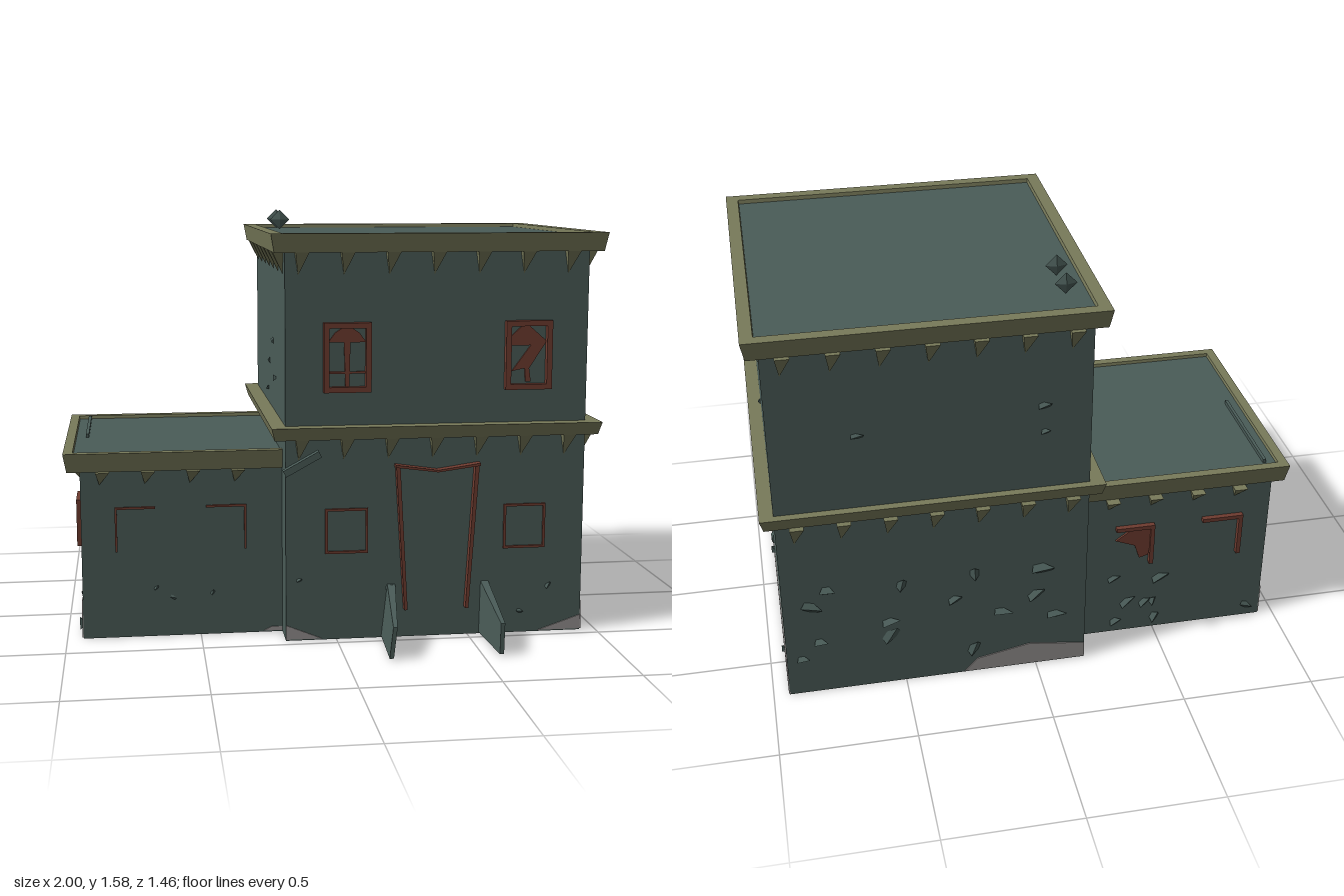
import * as THREE from 'three';

const mat = (name, color, side = THREE.DoubleSide) => {
  const m = new THREE.MeshStandardMaterial({ color, side, flatShading: true });
  m.name = name;
  return m;
};

export function createModel() {
  const house = new THREE.Group();
  house.name = 'ruinedHouse';
  const wallMat = mat('dark teal wall', 0x4a5c58);
  const trimMat = mat('olive trim', 0x787a5a);
  const woodMat = mat('red brown wood', 0x6f3c30);
  const plasterMat = mat('grey plaster', 0x959190);

  let seed = 7;
  const rnd = (a, b) => {
    seed = (seed * 16807) % 2147483647;
    return a + (b - a) * (seed / 2147483647);
  };
  const add = (parent, name, geo, material, x = 0, y = 0, z = 0) => {
    const m = new THREE.Mesh(geo, material);
    m.name = name;
    m.position.set(x, y, z);
    parent.add(m);
    return m;
  };
  const box = (parent, name, material, w, h, d, x, y, z) =>
    add(parent, name, new THREE.BoxGeometry(w, h, d), material, x, y, z);
  // flat plate from an outline, centred on the local wall plane
  const plate = (parent, name, material, pts, z = 0, depth = 0.008) => {
    const s = new THREE.Shape(pts.map(p => new THREE.Vector2(p[0], p[1])));
    const g = new THREE.ExtrudeGeometry(s, { depth, bevelEnabled: false });
    return add(parent, name, g, material, 0, 0, z - depth / 2);
  };

  // four walls without floor or roof; returns one local frame per wall
  function block(name, x0, x1, z0, z1, h) {
    const w = x1 - x0, d = z1 - z0, cx = (x0 + x1) / 2, cz = (z0 + z1) / 2;
    const g = new THREE.BoxGeometry(w, h, d);
    const idx = Array.from(g.index.array);
    idx.splice(12, 12);
    g.setIndex(idx);
    g.clearGroups();
    add(house, name, g, wallMat, cx, h / 2, cz);
    const frame = (side, x, z, rot, len) => {
      const f = new THREE.Group();
      f.name = name + side;
      f.position.set(x, 0, z);
      f.rotation.y = rot;
      f.userData.len = len;
      house.add(f);
      return f;
    };
    return {
      front: frame('Front', cx, z1, 0, w),
      right: frame('RightSide', x1, cz, Math.PI / 2, d),
      back: frame('Back', cx, z0, Math.PI, w),
      left: frame('LeftSide', x0, cz, -Math.PI / 2, d),
    };
  }

  // cornice ring, leaning outwards towards the top
  function cornice(name, x0, x1, z0, z1, y0, y1, t) {
    const w = x1 - x0, d = z1 - z0;
    const rect = (S, a, b) => new S([[-a, -b], [a, -b], [a, b], [-a, b]].map(p => new THREE.Vector2(...p)));
    const s = rect(THREE.Shape, w / 2, d / 2);
    s.holes.push(rect(THREE.Path, w / 2 - t, d / 2 - t));
    const g = new THREE.ExtrudeGeometry(s, { depth: y1 - y0, bevelEnabled: false });
    g.rotateX(-Math.PI / 2);
    const p = g.attributes.position;
    for (let i = 0; i < p.count; i++) {
      if (p.getY(i) < 0.01) {
        p.setX(i, p.getX(i) * (1 - 0.025 / w));
        p.setZ(i, p.getZ(i) * (1 - 0.025 / d));
      }
    }
    g.computeVertexNormals();
    add(house, name, g, trimMat, (x0 + x1) / 2, y0, (z0 + z1) / 2);
  }

  // pointed bracket: a box top shrinking to a tip against the wall
  const toothGeo = new THREE.BoxGeometry(0.05, 0.085, 0.042);
  const tp = toothGeo.attributes.position;
  for (let i = 0; i < tp.count; i++) {
    if (tp.getY(i) < 0) { tp.setX(i, -0.012); tp.setZ(i, -0.021); }
  }
  toothGeo.computeVertexNormals();
  function teeth(wall, y, n, start, step, size = 1) {
    for (let i = 0; i < n; i++) {
      const t = add(wall, 'bracket', toothGeo, trimMat, start + i * step, y - 0.042 * size, 0.02);
      t.scale.y = size;
    }
  }

  // window frame from any of its four bars: t, b, l, r
  function windowFrame(wall, u, y, w, h, out, bars = 'tblr', t = 0.016) {
    const f = new THREE.Group();
    f.name = 'windowFrame';
    f.position.set(u, y, out / 2 - 0.01);
    wall.add(f);
    const d = out + 0.02;
    if (bars.includes('t')) box(f, 'topBar', woodMat, w, t, d, 0, h / 2 - t / 2, 0);
    if (bars.includes('b')) box(f, 'sill', woodMat, w, t, d, 0, -h / 2 + t / 2, 0);
    if (bars.includes('l')) box(f, 'leftBar', woodMat, t, h, d, -w / 2 + t / 2, 0, 0);
    if (bars.includes('r')) box(f, 'rightBar', woodMat, t, h, d, w / 2 - t / 2, 0, 0);
    return f;
  }

  // loose stone chips on a wall
  const chipGeo = new THREE.TetrahedronGeometry(1);
  function chips(wall, n, y0, y1, big = 0.03) {
    for (let i = 0; i < n; i++) {
      const len = wall.userData.len / 2 - 0.05;
      const c = add(wall, 'stoneChip', chipGeo, wallMat, rnd(-len, len), rnd(y0, y1), 0.002);
      c.scale.set(rnd(0.6, 1.3) * big, rnd(0.4, 0.7) * big, rnd(0.3, 0.6) * big);
      c.rotation.z = rnd(-0.8, 0.8);
    }
  }

  // main two-storey block and side wing
  const main = block('mainWalls', -0.19, 0.94, -0.69, 0.455, 1.49);
  const wing = block('wingWalls', -0.94, -0.185, -0.565, 0.33, 0.685);
  box(house, 'mainRoof', wallMat, 1.16, 0.02, 1.17, 0.375, 1.488, -0.11);
  box(house, 'upperFloor', wallMat, 1.12, 0.02, 1.13, 0.375, 0.79, -0.118);
  box(house, 'wingRoof', wallMat, 0.78, 0.02, 0.9, -0.575, 0.685, -0.115);
  cornice('roofCornice', -0.245, 0.995, -0.725, 0.51, 1.445, 1.513, 0.045);
  cornice('middleCornice', -0.245, 0.99, -0.72, 0.51, 0.765, 0.812, 0.07);
  cornice('wingCornice', -1.0, -0.14, -0.585, 0.355, 0.637, 0.708, 0.035);

  // brackets
  for (const y of [1.446, 0.767]) {
    teeth(main.front, y, 7, -0.505, 0.167);
    teeth(main.right, y, 7, -0.52, 0.165);
    teeth(main.back, y, 7, -0.49, 0.165);
    if (y > 1) teeth(main.left, y, 7, -0.49, 0.165);
  }
  teeth(wing.front, 0.637, 4, -0.295, 0.167, 0.6);
  teeth(wing.left, 0.637, 5, -0.33, 0.165, 0.6);
  teeth(wing.back, 0.637, 4, -0.25, 0.165, 0.6);

  // upper windows with broken boards
  const w1 = windowFrame(main.front, -0.338, 1.063, 0.175, 0.255, 0.026, 'tblr', 0.02);
  plate(w1, 'brokenBoard', woodMat, [[-0.07, 0.055], [0.07, 0.055], [0.045, 0.09], [0, 0.12], [-0.045, 0.09]]);
  plate(w1, 'mullion', woodMat, [[-0.006, -0.11], [0.008, -0.11], [0.012, 0.06], [-0.012, 0.06]]);
  plate(w1, 'splinter', woodMat, [[-0.07, -0.06], [0.07, -0.06], [0.07, -0.052], [-0.07, -0.052]]);
  const w2 = windowFrame(main.front, 0.338, 1.063, 0.175, 0.255, 0.026, 'tblr', 0.02);
  plate(w2, 'brokenBoard', woodMat, [[-0.075, 0.06], [-0.01, 0.12], [0.07, 0.05], [0.005, -0.05],
    [0.012, -0.1], [-0.008, -0.1], [-0.012, -0.05], [-0.06, -0.06], [0.01, 0.035], [-0.075, 0.035]]);

  // ground-floor windows
  windowFrame(main.front, -0.338, 0.415, 0.16, 0.17, 0.008, 'tblr', 0.009);
  windowFrame(main.front, 0.338, 0.415, 0.16, 0.17, 0.008, 'tblr', 0.009);
  windowFrame(wing.front, -0.178, 0.415, 0.15, 0.17, 0.008, 'tl', 0.008);
  windowFrame(wing.front, 0.162, 0.415, 0.15, 0.17, 0.008, 'tr', 0.008);
  for (const u of [-0.19, 0.24]) windowFrame(wing.left, u, 0.415, 0.16, 0.18, 0.02);
  windowFrame(wing.back, 0.19, 0.415, 0.16, 0.18, 0.02, 'tr');
  const w3 = windowFrame(wing.back, -0.155, 0.415, 0.15, 0.18, 0.02, 'tr');
  plate(w3, 'brokenBoard', woodMat, [[-0.075, 0.03], [0.0, 0.085], [0.07, 0.08], [0.055, -0.05], [0.02, -0.06], [0.0, 0.0]], 0.008);

  // doorway: leaning posts, sagging lintel, inner door panel
  plate(main.front, 'leftDoorPost', woodMat, [[-0.157, 0.66], [-0.142, 0.66], [-0.11, 0.11], [-0.122, 0.11]], 0.015, 0.03);
  plate(main.front, 'rightDoorPost', woodMat, [[0.157, 0.66], [0.142, 0.66], [0.11, 0.11], [0.122, 0.11]], 0.015, 0.03);
  plate(main.front, 'lintel', woodMat, [[-0.16, 0.665], [0, 0.642], [0.16, 0.665], [0.16, 0.655], [0, 0.634], [-0.16, 0.655]], 0.018, 0.036);
  plate(main.front, 'innerDoor', woodMat, [[-0.14, 0.66], [0.14, 0.66], [0.14, 0.02], [-0.14, 0.02]], -0.012);

  // slanted slabs beside the door
  for (const s of [-1, 1]) {
    const g = new THREE.ExtrudeGeometry(new THREE.Shape([[0, 0], [0.27, 0], [0.27, 0.115], [0, 0.2]]
      .map(p => new THREE.Vector2(...p))), { depth: 0.03, bevelEnabled: false });
    g.rotateY(-Math.PI / 2);
    const p = g.attributes.position;
    for (let i = 0; i < p.count; i++) {
      p.setX(i, p.getX(i) * (1 - 1.8 * p.getZ(i)) + (s < 0 ? 0.11 : 0.02) * (p.getY(i) - p.getZ(i) * (s < 0 ? 1 : 0)) );
    }
    g.computeVertexNormals();
    add(house, 'doorSlab', g, wallMat, s < 0 ? 0.2 : 0.575, 0.005, 0.455);
  }

  // exposed plaster along the base
  const patch = (wall, pts) => plate(wall, 'plasterPatch', plasterMat, pts);
  patch(main.right, [[-0.575, 0.005], [0.573, 0.005], [0.56, 0.16], [-0.19, 0.09], [-0.35, 0.235], [-0.55, 0.235]]);
  patch(main.front, [[-0.565, 0.005], [-0.43, 0.005], [-0.565, 0.06]]);
  patch(main.front, [[0.4, 0.005], [0.565, 0.005], [0.565, 0.06]]);
  patch(main.back, [[0.1, 0.005], [0.565, 0.005], [0.565, 0.07], [0.35, 0.1], [0.15, 0.06]]);
  patch(wing.left, [[-0.447, 0.005], [0.447, 0.005], [0.447, 0.15], [0.1, 0.09], [-0.2, 0.1], [-0.447, 0.13]]);
  patch(wing.front, [[0.3, 0.005], [0.375, 0.005], [0.375, 0.02], [0.33, 0.02]]);

  // chips and rubble
  chips(main.front, 5, 0.03, 0.25, 0.022);
  chips(main.right, 4, 0.08, 0.5, 0.04);
  chips(main.right, 1, 0.95, 0.97, 0.035);
  chips(main.back, 14, 0.05, 0.5, 0.055);
  chips(main.back, 3, 0.85, 1.2, 0.03);
  chips(main.left, 4, 0.82, 1.12, 0.025);
  chips(wing.left, 6, 0.03, 0.25, 0.045);
  chips(wing.back, 8, 0.03, 0.28, 0.045);
  chips(wing.front, 3, 0.1, 0.2, 0.015);
  for (let i = 0; i < 10; i++) {
    const r = add(house, 'floorRubble', chipGeo, wallMat, rnd(-0.88, -0.25), 0.012, rnd(-0.5, 0.27));
    r.scale.set(rnd(0.03, 0.07), 0.012, rnd(0.03, 0.06));
    r.rotation.y = rnd(0, 3);
  }

  // loose beam, roof shards and roof splinter
  box(house, 'looseBeam', wallMat, 0.15, 0.025, 0.03, -0.13, 0.675, 0.47).rotation.z = 0.5;
  for (const z of [-0.4, -0.545]) {
    add(house, 'roofShard', new THREE.OctahedronGeometry(0.04), wallMat, -0.12, 1.54, z).scale.z = 0.3;
  }
  box(house, 'roofSplinter', wallMat, 0.012, 0.02, 0.45, -0.92, 0.7, -0.3);

  return house;
}
